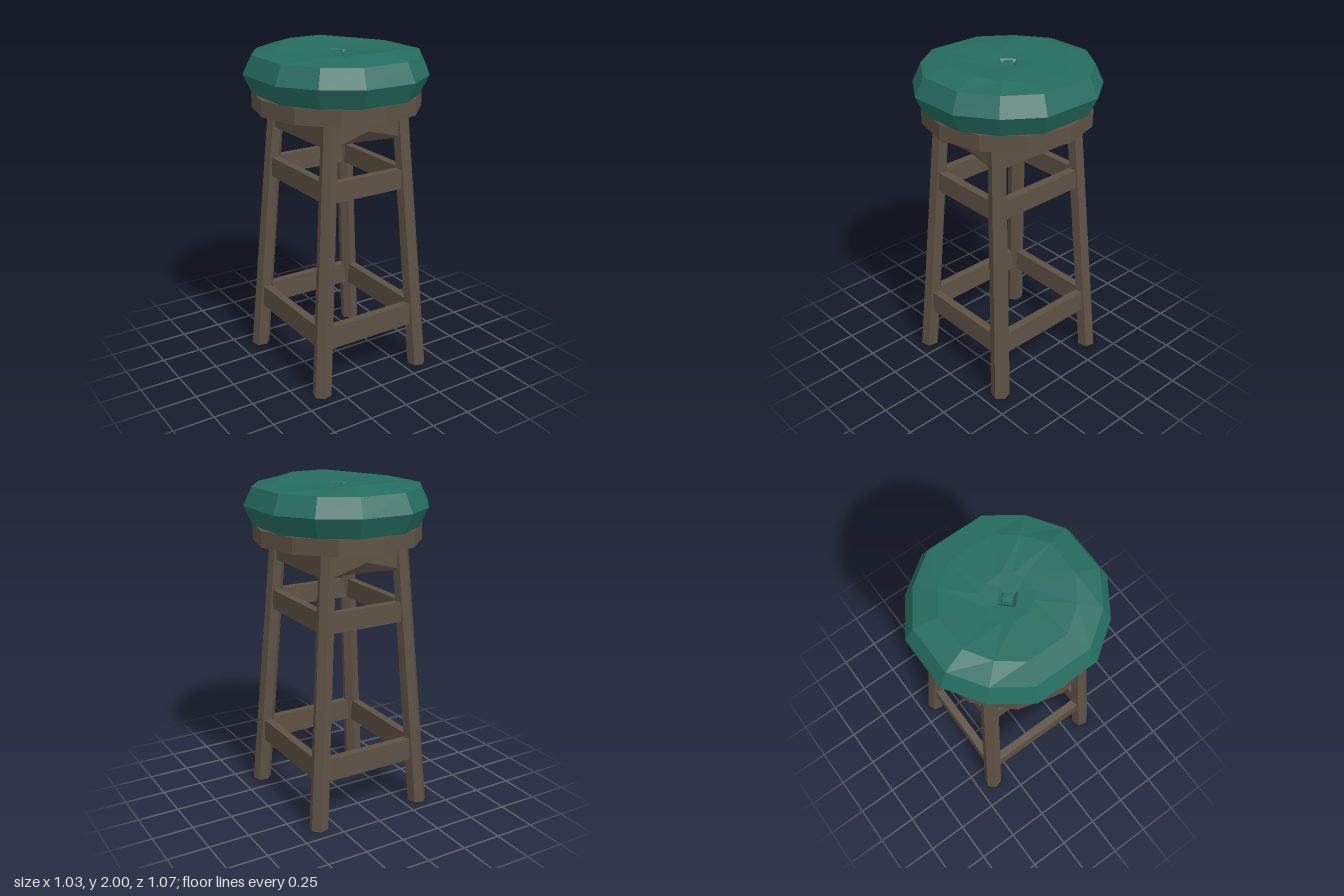
import * as THREE from 'three';

const wood = new THREE.MeshStandardMaterial({ color: 0x5e5144 });
wood.name = 'dark wood';
const fabric = new THREE.MeshStandardMaterial({ color: 0x256c5f });
fabric.name = 'green fabric';

// Unshared vertices give crisp low-poly facets
function facetedMesh(geometry, material, name) {
  const g = geometry.index ? geometry.toNonIndexed() : geometry;
  g.computeVertexNormals();
  const mesh = new THREE.Mesh(g, material);
  mesh.name = name;
  return mesh;
}

// Closed skin through rings of equal point count, listed from bottom to top
function loft(rings) {
  const n = rings[0].length;
  const index = [];
  for (let k = 0; k < rings.length - 1; k++) {
    for (let i = 0; i < n; i++) {
      const a = k * n + i, b = k * n + (i + 1) % n;
      index.push(a, a + n, b, b, a + n, b + n);
    }
  }
  const g = new THREE.BufferGeometry();
  g.setAttribute('position', new THREE.Float32BufferAttribute(rings.flat(2), 3));
  g.setIndex(index);
  return g;
}

// Twelve-sided outline, mirrored from one quarter
const quarter = [[0.515, 0.19], [0.37, 0.395], [0.16, 0.535]];
const flip = (pts, sx, sz) => pts.map(([x, z]) => [x * sx, z * sz]);
const outline = [
  ...quarter, ...flip([...quarter].reverse(), -1, 1),
  ...flip(quarter, -1, -1), ...flip([...quarter].reverse(), 1, -1),
];

function createCushion() {
  const ring = (s, yAt) => outline.map(([x, z], i) => [x * s, Array.isArray(yAt) ? yAt[i % 6 < 3 ? i % 3 : 2 - i % 3] : yAt, z * s]);
  // Small four-cornered ring for the tufted centre
  const diamond = (r, y) => outline.map(([x, z], i) => {
    if (i % 3 === 1) return [Math.sign(x) * r / 2, y, Math.sign(z) * r / 2];
    return Math.abs(x) > Math.abs(z) ? [Math.sign(x) * r, y, 0] : [0, y, Math.sign(z) * r];
  });
  return facetedMesh(loft([
    ring(0, 1.73), ring(0.9, 1.735), ring(1, 1.85), ring(0.905, 1.96),
    ring(0.66, [1.972, 1.987, 2.0]), ring(0.25, 1.972),
    diamond(0.068, 1.967), diamond(0.045, 1.945),
    diamond(0.036, 1.968), diamond(0, 1.97),
  ]), fabric, 'cushion');
}

// Leg centre line, leaning inwards towards the top
const legX = (y) => 0.355 - 0.07 * y;
const legZ = (y) => 0.385 - 0.052 * y;

function createLeg(sx, sz) {
  const height = 1.66;
  const g = new THREE.CylinderGeometry(0.05, 0.058, height, 6, 1, false, Math.atan2(sx, sz) - Math.PI / 6);
  g.translate(0, height / 2, 0);
  const p = g.attributes.position;
  for (let i = 0; i < p.count; i++) {
    const y = p.getY(i);
    p.setXYZ(i, p.getX(i) + sx * legX(y), y, p.getZ(i) + sz * legZ(y));
  }
  return facetedMesh(g, wood, 'leg');
}

export function createModel() {
  const model = new THREE.Group();
  model.name = 'stool';
  model.add(createCushion());

  // Wooden seat plate
  const plate = facetedMesh(new THREE.CylinderGeometry(0.5, 0.5, 0.095, 12), wood, 'seatPlate');
  plate.position.y = 1.6875;
  model.add(plate);

  for (const sx of [-1, 1]) for (const sz of [-1, 1]) model.add(createLeg(sx, sz));

  // Rails between the legs at three heights
  const levels = [['lowerRail', 0.29, 0.43], ['middleRail', 1.18, 1.3], ['apron', 1.49, 1.65]];
  for (const [name, y0, y1] of levels) {
    const y = (y0 + y1) / 2, x = legX(y), z = legZ(y);
    for (const s of [-1, 1]) {
      const side = facetedMesh(new THREE.BoxGeometry(0.05, y1 - y0, 2 * z), wood, name);
      side.position.set(s * x, y, 0);

      const g = new THREE.BoxGeometry(2 * x, y1 - y0, 0.05, 2, 1, 1);
      if (name === 'apron') {
        // Lower outer edge cut upwards to a shallow peak in the middle
        const p = g.attributes.position;
        for (let i = 0; i < p.count; i++) {
          if (Math.abs(p.getX(i)) < 0.01 && p.getY(i) < 0 && p.getZ(i) * s > 0) p.setY(i, p.getY(i) + 0.07);
        }
      }
      const cross = facetedMesh(g, wood, name);
      cross.position.set(0, y, s * z);
      model.add(side, cross);
    }
  }
  return model;
}
